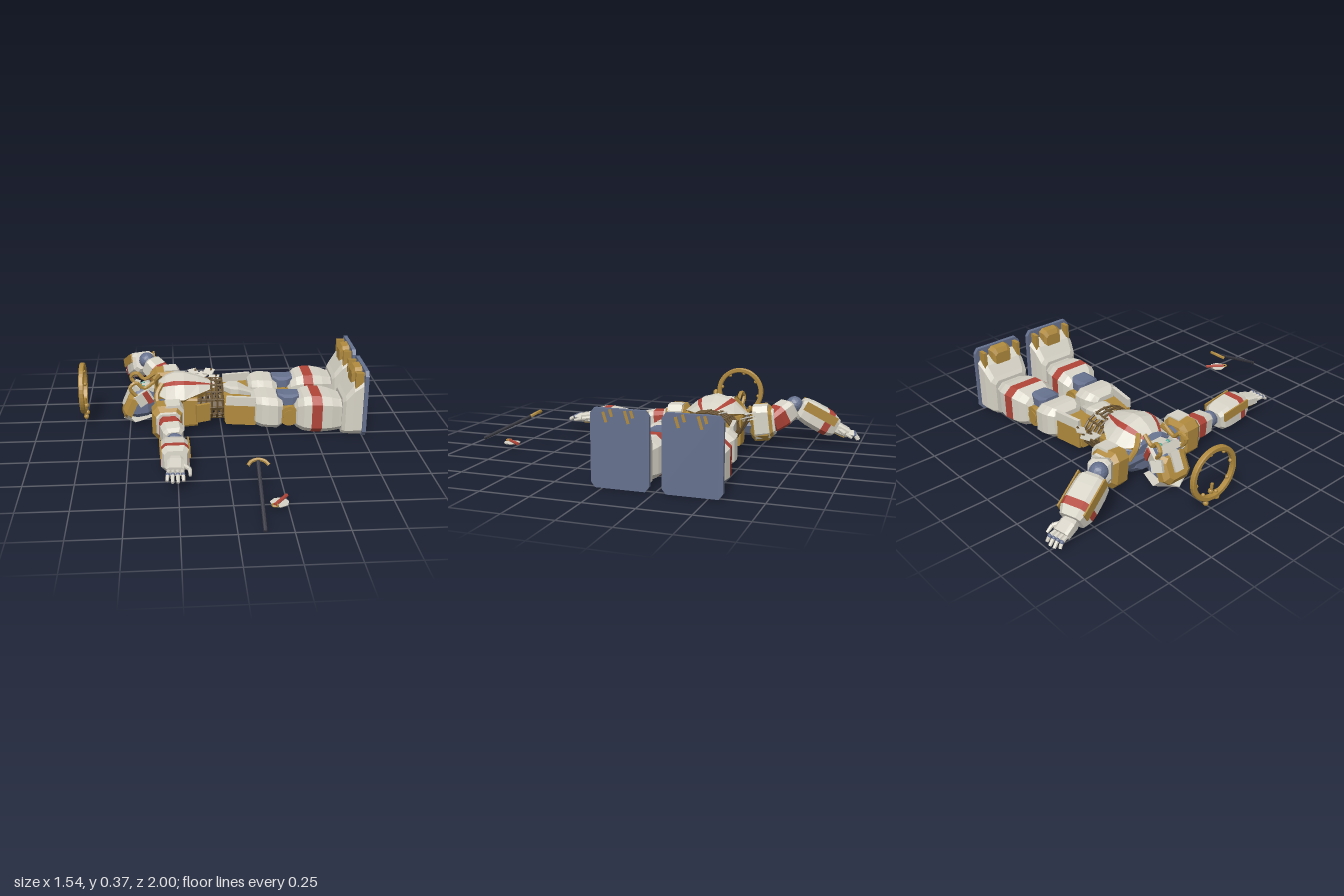
import * as THREE from 'three';

const WHITE = 0xd6d2c6, GOLD = 0xb08a3e, BLUE = 0x66718e, RED = 0xb04438, BROWN = 0x66502f, DARK = 0x3a3a44, TEAL = 0x4fa89a;
const MID = -0.255; // z of the body's centre line
const mats = {};
const mat = (color, twoSided = false) => mats[color + '_' + twoSided] ??= new THREE.MeshStandardMaterial({
  color, flatShading: true, side: twoSided ? THREE.DoubleSide : THREE.FrontSide });
const V = (x, y, z) => new THREE.Vector3(x, y, z);

function add(parent, name, geo, color, pos = [0, 0, 0], rot = [0, 0, 0], twoSided = false) {
  const m = new THREE.Mesh(geo, mat(color, twoSided));
  m.name = name;
  m.position.set(...pos);
  m.rotation.set(...rot);
  parent.add(m);
  return m;
}
const box = (p, name, size, color, pos, rot) => add(p, name, new THREE.BoxGeometry(...size), color, pos, rot);
const ball = (p, name, r, color, pos) => add(p, name, new THREE.IcosahedronGeometry(r, 2), color, pos);

// Chamfered body along x; each section is [x, centreY, centreZ, halfY, halfZ]
function loft(p, name, sections, color, ch = 0.35) {
  const pos = [], idx = [], k = 1 - ch;
  const oct = [[1, -k], [1, k], [k, 1], [-k, 1], [-1, k], [-1, -k], [-k, -1], [k, -1]];
  for (const [x, cy, cz, hy, hz] of sections) for (const [a, b] of oct) pos.push(x, cy + a * hy, cz + b * hz);
  for (let s = 0; s < sections.length - 1; s++) for (let i = 0; i < 8; i++) {
    const a = s * 8 + i, b = s * 8 + (i + 1) % 8;
    idx.push(a, b, b + 8, a, b + 8, a + 8);
  }
  const e = (sections.length - 1) * 8;
  for (let i = 1; i < 7; i++) idx.push(0, i + 1, i, e, e + i, e + i + 1);
  const g = new THREE.BufferGeometry();
  g.setAttribute('position', new THREE.Float32BufferAttribute(pos, 3));
  g.setIndex(idx);
  const flat = g.toNonIndexed();
  flat.computeVertexNormals();
  return add(p, name, flat, color);
}

// Open sheet through rows of points
function sheet(p, name, rows, color) {
  const pos = rows.flat(2), idx = [], n = rows[0].length;
  for (let i = 0; i < rows.length - 1; i++) for (let j = 0; j < n - 1; j++) {
    const a = i * n + j;
    idx.push(a, a + 1, a + n, a + 1, a + n + 1, a + n);
  }
  const g = new THREE.BufferGeometry();
  g.setAttribute('position', new THREE.Float32BufferAttribute(pos, 3));
  g.setIndex(idx);
  g.computeVertexNormals();
  return add(p, name, g, color, [0, 0, 0], [0, 0, 0], true);
}

function rod(p, name, a, b, r, color, r2 = r) {
  const d = b.clone().sub(a);
  const m = add(p, name, new THREE.CylinderGeometry(r2, r, d.length(), 8), color);
  m.position.copy(a).addScaledVector(d, 0.5);
  m.quaternion.setFromUnitVectors(V(0, 1, 0), d.normalize());
}
const tube = (p, name, pts, r, color) =>
  add(p, name, new THREE.TubeGeometry(new THREE.CatmullRomCurve3(pts.map(q => V(...q))), 14, r, 6), color);

// Group whose x axis runs from a to b; returns the group and its length
function along(p, name, a, b) {
  const d = b.clone().sub(a), len = d.length(), g = new THREE.Group();
  d.normalize();
  const side = d.clone().cross(V(0, 1, 0)).normalize();
  g.quaternion.setFromRotationMatrix(new THREE.Matrix4().makeBasis(d, side.clone().cross(d), side));
  g.position.copy(a);
  g.name = name;
  p.add(g);
  return [g, len];
}

function leg(p, s) {
  const g = new THREE.Group();
  g.name = s > 0 ? 'nearLeg' : 'farLeg';
  p.add(g);
  const at = o => MID + s * o;
  // Hip frame and flared skirt plates
  loft(g, 'hipFrame', [[0.02, 0.09, at(0.1), 0.06, 0.06], [0.18, 0.09, at(0.115), 0.06, 0.08]], GOLD, 0.15);
  box(g, 'skirtPlate', [0.16, 0.05, 0.02], WHITE, [0.105, 0.17, at(0.178)], [0, -s * 0.16, 0]);
  box(g, 'skirtTrim', [0.16, 0.115, 0.012], GOLD, [0.105, 0.09, at(0.178)], [0, -s * 0.16, 0]);
  rod(g, 'thighBone', V(0.1, 0.095, at(0.115)), V(0.4, 0.095, at(0.13)), 0.045, BLUE);
  // Thigh
  loft(g, 'thigh', [[0.165, 0.11, at(0.115), 0.065, 0.055], [0.185, 0.11, at(0.12), 0.08, 0.088], [0.215, 0.11, at(0.123), 0.087, 0.108],
    [0.25, 0.108, at(0.125), 0.088, 0.114], [0.3, 0.103, at(0.128), 0.086, 0.11], [0.33, 0.1, at(0.13), 0.07, 0.085]], WHITE);
  // Knee
  add(g, 'kneeDisc', new THREE.CylinderGeometry(0.055, 0.055, 0.18, 20), GOLD, [0.365, 0.09, at(0.13)], [Math.PI / 2, 0, 0]);
  add(g, 'kneeHub', new THREE.CylinderGeometry(0.035, 0.035, 0.19, 16), GOLD, [0.365, 0.09, at(0.13)], [Math.PI / 2, 0, 0]);
  loft(g, 'kneeCap', [[0.305, 0.188, at(0.13), 0.015, 0.042], [0.34, 0.165, at(0.13), 0.033, 0.062],
    [0.385, 0.165, at(0.13), 0.033, 0.062], [0.42, 0.183, at(0.135), 0.018, 0.045]], BLUE);
  // Shin with a red band
  const shin = [[0.395, 0.09, at(0.14), 0.06, 0.07], [0.41, 0.097, at(0.143), 0.08, 0.09], [0.44, 0.103, at(0.148), 0.097, 0.11],
    [0.48, 0.106, at(0.152), 0.104, 0.12], [0.535, 0.106, at(0.157), 0.104, 0.122], [0.59, 0.102, at(0.16), 0.098, 0.112],
    [0.63, 0.097, at(0.163), 0.09, 0.095], [0.66, 0.095, at(0.165), 0.085, 0.085]];
  loft(g, 'shinUpper', shin.slice(0, 4), WHITE);
  loft(g, 'shinBand', shin.slice(3, 5), RED);
  loft(g, 'shinLower', shin.slice(4), WHITE);
  // Foot, toe cap and sole
  loft(g, 'foot', [[0.645, 0.1, at(0.167), 0.1, 0.095], [0.66, 0.11, at(0.168), 0.11, 0.115],
    [0.7, 0.14, at(0.17), 0.14, 0.125], [0.75, 0.16, at(0.17), 0.16, 0.13]], WHITE, 0.2);
  loft(g, 'toeCap', [[0.695, 0.3, at(0.17), 0.035, 0.045], [0.71, 0.315, at(0.17), 0.045, 0.055],
    [0.75, 0.32, at(0.17), 0.045, 0.06]], GOLD);
  for (const t of [-1, 1]) box(g, 'footStrap', [0.05, 0.09, 0.02], GOLD, [0.728, 0.31, at(0.17) + t * 0.105]);
  loft(g, 'sole', [[0.748, 0.185, at(0.17), 0.185, 0.141], [0.769, 0.185, at(0.17), 0.185, 0.141]], BLUE, 0.14);
  for (const [y, o, h] of [[0.35, -0.06, 0.035], [0.335, -0.035, 0.06], [0.35, 0.04, 0.035], [0.33, 0.07, 0.05]])
    box(g, 'soleScuff', [0.002, h, 0.014], GOLD, [0.7695, y, at(0.17) + o], [0.3, 0, 0]);
}

function arm(p, name, [shoulder, cuff, elbow, fore, wrist, tip], thumbSide) {
  const g = new THREE.Group();
  g.name = name;
  p.add(g);
  // Shoulder guard
  const [sg, sl] = along(g, 'shoulder', shoulder, cuff);
  loft(sg, 'shoulderGuard', [[-0.005, 0, 0, 0.07, 0.055], [0.015, 0, 0, 0.093, 0.08], [sl * 0.75, 0, 0, 0.095, 0.083], [sl, 0, 0, 0.07, 0.065]], GOLD);
  loft(sg, 'shoulderFace', [[sl * 0.9, 0, 0, 0.075, 0.07], [sl + 0.012, 0, 0, 0.065, 0.06]], WHITE);
  loft(sg, 'shoulderTop', [[0.02, 0.01, thumbSide * 0.03, 0.09, 0.058], [sl * 0.85, 0.01, thumbSide * 0.03, 0.088, 0.055]], WHITE);
  // Upper arm with a red band
  const [ug, ul] = along(g, 'upperArm', cuff, elbow);
  const u = [[-0.02, 0, 0, 0.05, 0.045], [0.03, 0, 0, 0.058, 0.055], [ul * 0.4, 0, 0, 0.06, 0.058], [ul * 0.75, 0, 0, 0.056, 0.054], [ul * 0.85, 0, 0, 0.04, 0.04]];
  loft(ug, 'upperArmBand', u.slice(0, 3), RED);
  loft(ug, 'upperArmShell', u.slice(2), WHITE);
  ball(g, 'elbow', 0.046, BLUE, elbow.toArray());
  rod(g, 'elbowLink', elbow, fore, 0.035, BLUE);
  // Forearm with a red band and gold side rails
  const [fg, fl] = along(g, 'forearm', fore, wrist);
  const f = [[0, 0, 0, 0.045, 0.05], [0.02, 0, 0, 0.06, 0.067], [fl * 0.3, 0, 0, 0.067, 0.072], [fl * 0.65, 0, 0, 0.068, 0.073], [fl * 0.82, 0, 0, 0.066, 0.07], [fl, 0, 0, 0.05, 0.055]];
  loft(fg, 'forearmShell', f.slice(0, 4), WHITE);
  loft(fg, 'forearmBand', f.slice(3, 5), RED);
  loft(fg, 'forearmCuff', f.slice(4), WHITE);
  for (const t of [-1, 1]) box(fg, 'forearmRail', [fl * 0.85, 0.05, 0.008], GOLD, [fl * 0.48, 0.03, t * 0.071]);
  // Hand
  const [hg, hl] = along(g, 'hand', wrist, tip);
  loft(hg, 'palm', [[-0.02, 0, 0, 0.025, 0.03], [0.02, 0, 0, 0.03, 0.04], [hl * 0.5, 0, 0, 0.024, 0.042]], WHITE);
  box(hg, 'handBack', [hl * 0.4, 0.01, 0.05], GOLD, [hl * 0.25, -0.027, 0]);
  for (let i = 0; i < 4; i++) {
    const z = (i - 1.5) * 0.021, tipX = hl * (i % 3 ? 1 : 0.93) - 0.008;
    rod(hg, 'finger', V(hl * 0.45, 0, z), V(hl * 0.72, 0.01, z * 1.15), 0.0105, WHITE);
    ball(hg, 'knuckle', 0.011, BLUE, [hl * 0.72, 0.01, z * 1.15]);
    rod(hg, 'fingerTip', V(hl * 0.72, 0.01, z * 1.15), V(tipX, -0.006, z * 1.25), 0.01, WHITE, 0.008);
  }
  rod(hg, 'thumb', V(hl * 0.15, 0, thumbSide * 0.03), V(hl * 0.4, 0, thumbSide * 0.068), 0.011, WHITE);
  rod(hg, 'thumbTip', V(hl * 0.4, 0, thumbSide * 0.068), V(hl * 0.65, -0.005, thumbSide * 0.07), 0.01, WHITE, 0.007);
}

function torso(p) {
  // Chest core and back
  loft(p, 'chestCore', [[-0.34, 0.11, MID, 0.07, 0.1], [-0.3, 0.11, MID, 0.09, 0.15], [-0.2, 0.11, MID, 0.09, 0.15], [-0.17, 0.11, MID, 0.08, 0.13]], BLUE);
  for (const s of [-1, 1]) {
    loft(p, 'flankBlock', [[-0.21, 0.1, MID + s * 0.11, 0.085, 0.05], [-0.13, 0.1, MID + s * 0.11, 0.08, 0.05]], GOLD, 0.15);
    rod(p, 'shoulderAxle', V(-0.29, 0.11, MID), V(-0.29, 0.11, MID + s * 0.2), 0.06, BLUE);
    tube(p, 'collar', [[-0.34, 0.13, MID + s * 0.15], [-0.35, 0.19, MID + s * 0.11], [-0.32, 0.24, MID + s * 0.07]], 0.014, GOLD);
  }
  box(p, 'tornFlank', [0.08, 0.1, 0.02], GOLD, [-0.1, 0.1, -0.095], [0, 0.35, 0]);
  // Domed breastplate made of lengthwise strips: [x, half width, crest y, edge y]
  const rows = [[-0.34, 0.1, 0.225, 0.18], [-0.3, 0.14, 0.258, 0.175], [-0.25, 0.168, 0.277, 0.175], [-0.2, 0.17, 0.275, 0.18], [-0.12, 0.125, 0.25, 0.195], [-0.03, 0.045, 0.213, 0.2]];
  const cuts = [-1, -0.6, -0.45, 0, 0.45, 0.6, 1], cols = [WHITE, RED, WHITE, WHITE, RED, WHITE];
  cols.forEach((c, j) => sheet(p, c === RED ? 'chestStripe' : 'breastplate', rows.map(([x, w, top, edge]) =>
    [cuts[j], cuts[j + 1]].map(v => [x, top - (top - edge) * v * v, MID + v * w])), c));
  for (const s of [-1, 1]) sheet(p, 'breastplateSide', rows.map(([x, w, , e]) => [[x, e, MID + s * w], [x, e - 0.03, MID + s * w * 0.88]]), GOLD);

  // Exposed waist frame: hoops, stringers and a spine
  for (let i = 0; i < 6; i++) {
    const h = add(p, 'waistHoop', new THREE.TorusGeometry(1, 0.055, 5, 16), BROWN, [-0.14 + i * 0.03, 0.114, MID - 0.015], [0, Math.PI / 2, 0]);
    h.scale.set(0.14, 0.105, 0.12);
  }
  for (let i = 0; i < 16; i++) {
    const a = i * Math.PI / 8, y = 0.114 + Math.sin(a) * 0.105, z = MID - 0.015 + Math.cos(a) * 0.14;
    rod(p, 'waistStringer', V(-0.155, y, z), V(0.015, y, z), 0.006, BROWN);
  }
  rod(p, 'spine', V(-0.18, 0.08, MID), V(0.05, 0.08, MID), 0.035, BROWN);
  for (const [x, z, y] of [[-0.14, -0.41, 0.215], [-0.09, -0.42, 0.19], [-0.05, -0.42, 0.21], [-0.03, -0.28, 0.225]]) {
    rod(p, 'brokenStrut', V(x, 0.1, z), V(x + 0.015, y, z - 0.06), 0.006, BROWN);
    box(p, 'tornPlate', [0.06, 0.006, 0.05], WHITE, [x, y - 0.015, z - 0.05], [0.4, x * 9, 0.2]);
  }
  // Pelvis and front flap
  loft(p, 'pelvis', [[0.01, 0.09, MID, 0.055, 0.08], [0.05, 0.09, MID, 0.07, 0.11], [0.13, 0.09, MID, 0.05, 0.07]], GOLD, 0.2);
  loft(p, 'frontFlap', [[0.02, 0.18, MID, 0.018, 0.018], [0.055, 0.18, MID, 0.022, 0.062], [0.1, 0.178, MID, 0.02, 0.065], [0.19, 0.14, MID, 0.015, 0.025]], WHITE);
}

function head(p) {
  const g = new THREE.Group();
  g.name = 'head';
  p.add(g);
  rod(g, 'neck', V(-0.3, 0.12, MID), V(-0.42, 0.11, MID), 0.05, BLUE);
  loft(g, 'skull', [[-0.5, 0.1, MID, 0.06, 0.06], [-0.46, 0.12, MID, 0.085, 0.08], [-0.4, 0.12, MID, 0.075, 0.075], [-0.365, 0.12, MID, 0.05, 0.05]], BLUE);
  // Slanted helmet shell, crest, brow and cheeks
  const helm = loft(g, 'helmetShell', [[-0.03, 0, 0, 0.055, 0.06], [-0.008, 0, 0, 0.075, 0.085], [0.028, 0, 0, 0.08, 0.088]], GOLD);
  helm.position.set(-0.495, 0.11, MID);
  helm.rotation.z = -0.42;
  box(g, 'crest', [0.06, 0.1, 0.05], WHITE, [-0.495, 0.14, MID], [0, 0, -0.42]);
  box(g, 'brow', [0.03, 0.035, 0.12], WHITE, [-0.46, 0.2, MID], [0, 0, -0.4]);
  box(g, 'faceGuard', [0.07, 0.025, 0.07], WHITE, [-0.4, 0.195, MID], [0, 0, -0.2]);
  box(g, 'sidePlate', [0.06, 0.06, 0.02], WHITE, [-0.48, 0.14, MID - 0.092], [0.3, 0.3, -0.4]);
  for (const s of [-1, 1]) {
    box(g, 'cheek', [0.09, 0.07, 0.02], WHITE, [-0.42, 0.16, MID + s * 0.075], [0, s * 0.25, 0.5]);
    box(g, 'cheekBand', [0.03, 0.075, 0.022], RED, [-0.4, 0.165, MID + s * 0.077], [0, s * 0.25, 0.5]);
    ball(g, 'eye', 0.012, TEAL, [-0.425, 0.205, MID + s * 0.025]);
    tube(g, 'horn', [[-0.46, 0.17, MID + s * 0.08], [-0.495, 0.225, MID + s * 0.085], [-0.46, 0.25, MID + s * 0.075], [-0.42, 0.215, MID + s * 0.07], [-0.36, 0.25, MID + s * 0.065]], 0.011, GOLD);
    // Torn hood lying under the head
    sheet(g, 'hood', [[[-0.37, 0.04, MID + s * 0.02], [-0.38, 0.05, MID + s * 0.09]], [[-0.46, 0.02, MID], [-0.47, 0.03, MID + s * 0.11]], [[-0.54, 0.01, MID], [-0.51, 0.07, MID + s * 0.1]]], WHITE);
  }
}

function props(p) {
  // Upright flat ring with studs and hanging beads
  const c = V(-0.755, 0.2, -0.25);
  const band = [[0.115, -0.009], [0.12, -0.013], [0.137, -0.013], [0.141, -0.009], [0.141, 0.009], [0.137, 0.013], [0.12, 0.013], [0.115, 0.009], [0.115, -0.009]];
  add(p, 'ring', new THREE.LatheGeometry(band.map(q => new THREE.Vector2(...q)), 40), GOLD, c.toArray(), [0, 0, Math.PI / 2]);
  for (let i = 0; i < 8; i++) {
    const a = i * Math.PI / 4 + 0.2;
    ball(p, 'ringStud', 0.01, GOLD, [c.x, c.y + Math.sin(a) * 0.112, c.z + Math.cos(a) * 0.112]);
  }
  for (const [z, y] of [[-0.21, 0.045], [-0.28, 0.04], [-0.25, 0.095]]) {
    rod(p, 'beadLink', V(-0.745, y, z), V(-0.75, y + 0.045, z), 0.008, GOLD);
    ball(p, 'bead', 0.014, GOLD, [-0.743, y, z]);
  }
  // Leaning pick
  rod(p, 'pickHandle', V(0.12, 0.008, 0.995), V(0.12, 0.178, 0.655), 0.009, DARK);
  tube(p, 'pickHead', [[0.07, 0.165, 0.675], [0.09, 0.178, 0.655], [0.12, 0.183, 0.648], [0.15, 0.178, 0.655], [0.17, 0.165, 0.675]], 0.009, GOLD);
  // Small scroll with a red rod
  rod(p, 'scrollRod', V(0.185, 0.025, 0.8), V(0.25, 0.027, 0.715), 0.009, RED);
  add(p, 'scrollSheet', new THREE.CylinderGeometry(0.046, 0.042, 0.006, 7), WHITE, [0.21, 0.02, 0.772]);
  add(p, 'scrollLoop', new THREE.TorusGeometry(0.014, 0.004, 6, 14), GOLD, [0.185, 0.027, 0.805], [Math.PI / 2, 0, 0]);
}

export function createModel() {
  const root = new THREE.Group();
  root.name = 'fallenRobot';
  torso(root);
  head(root);
  for (const s of [-1, 1]) leg(root, s);
  arm(root, 'nearArm', [V(-0.3, 0.102, -0.07), V(-0.29, 0.1, 0.05), V(-0.26, 0.08, 0.22), V(-0.265, 0.07, 0.255), V(-0.26, 0.095, 0.465), V(-0.265, 0.075, 0.65)], -1);
  arm(root, 'farArm', [V(-0.295, 0.115, -0.435), V(-0.31, 0.13, -0.55), V(-0.41, 0.21, -0.645), V(-0.425, 0.195, -0.67), V(-0.485, 0.085, -0.86), V(-0.51, 0.022, -1)], 1);
  props(root);
  return root;
}
